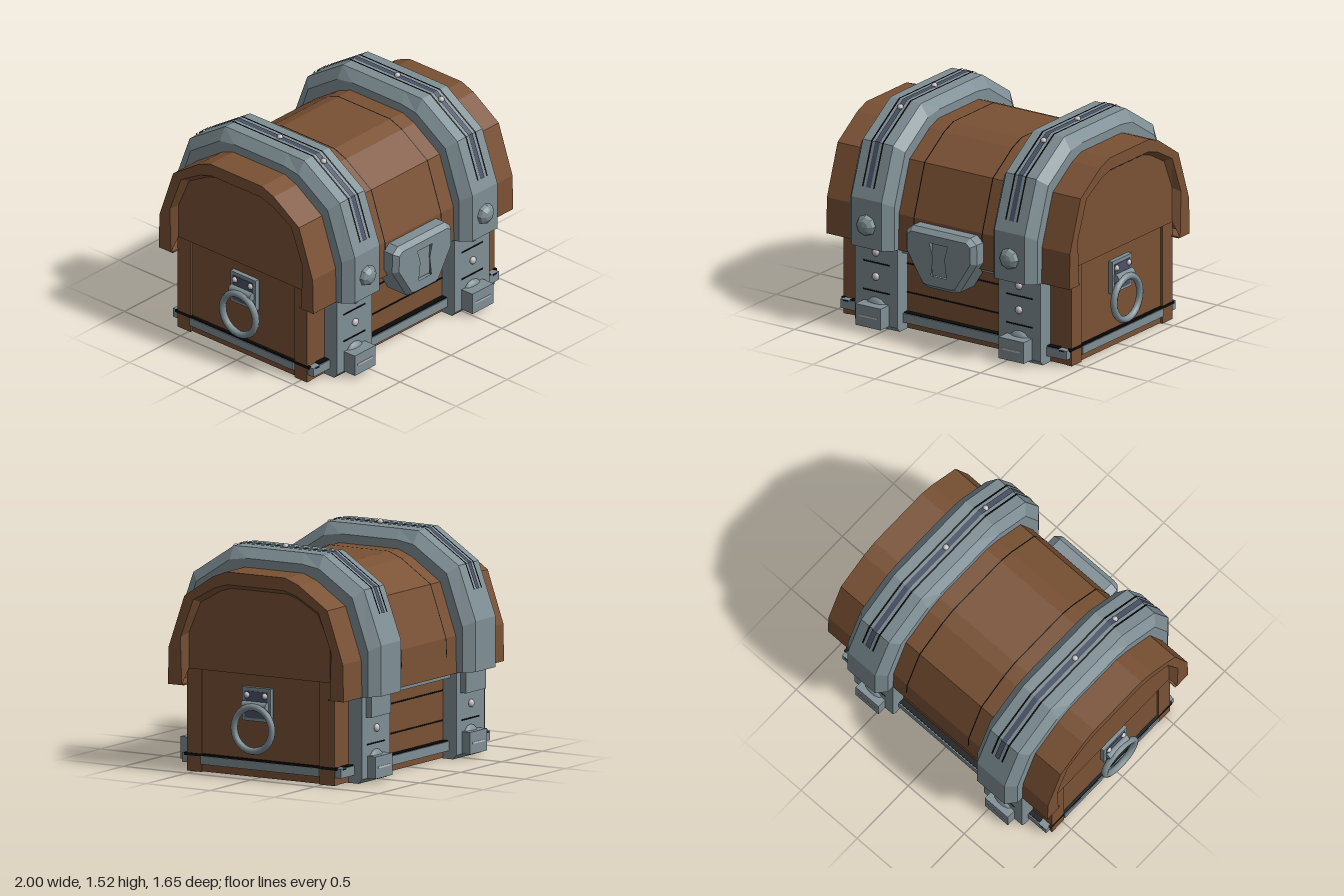
import * as THREE from 'three';

const CZ = -0.024; // depth centre of the chest body
const mat = (name, color) => {
  const m = new THREE.MeshStandardMaterial({ color, side: THREE.DoubleSide });
  m.name = name;
  return m;
};

// Half profile [z, y] from the front bottom to the crown, mirrored to the back
const arch = (half) => [...half, ...half.map(([z, y]) => [-z, y]).reverse()].map(([z, y]) => [z + CZ, y]);

const LID = arch([[0.688, 0.58], [0.682, 0.83], [0.56, 1.18], [0.335, 1.33], [0.23, 1.37]]);
const RIM = arch([[0.58, 0.58], [0.59, 0.9], [0.49, 1.16], [0.32, 1.255], [0.22, 1.285]]);
const PANEL = arch([[0.552, 0.69], [0.552, 0.93], [0.46, 1.14], [0.3, 1.23], [0.22, 1.255]]);
const BAND = arch([[0.802, 0.59], [0.802, 0.93], [0.668, 1.29], [0.352, 1.495], [0.2, 1.497]]);
const BAND_EDGE = arch([[0.735, 0.585], [0.735, 0.89], [0.61, 1.24], [0.35, 1.41], [0.22, 1.43]]);

// Flat-shaded skin between neighbouring paths, each given as [x, profile]
function loft(paths) {
  const pos = [];
  for (let i = 0; i < paths.length - 1; i++) {
    const [xa, a] = paths[i], [xb, b] = paths[i + 1];
    for (let j = 0; j < a.length - 1; j++) {
      const p = [xa, a[j][1], a[j][0]], q = [xb, b[j][1], b[j][0]];
      const r = [xb, b[j + 1][1], b[j + 1][0]], s = [xa, a[j + 1][1], a[j + 1][0]];
      pos.push(...p, ...q, ...r, ...p, ...r, ...s);
    }
  }
  const g = new THREE.BufferGeometry();
  g.setAttribute('position', new THREE.Float32BufferAttribute(pos, 3));
  g.computeVertexNormals();
  return g;
}

const shapeOf = (pts) => new THREE.Shape(pts.map(([x, y]) => new THREE.Vector2(x, y)));

export function createModel() {
  const root = new THREE.Group();
  root.name = 'treasureChest';
  const wood = mat('wood', 0x7a5134);
  const metal = mat('metal', 0x7f8f95);
  const slot = mat('dark slot', 0x4a5266);
  const black = mat('black groove', 0x0b0b0b);
  const pale = mat('pale rivet', 0xc2bdc1);

  const add = (name, geo, m, x = 0, y = 0, z = 0) => {
    const mesh = new THREE.Mesh(geo, m);
    mesh.name = name;
    mesh.position.set(x, y, z);
    root.add(mesh);
    return mesh;
  };
  // Box given by its limits
  const box = (name, m, x0, x1, y0, y1, z0, z1) =>
    add(name, new THREE.BoxGeometry(x1 - x0, y1 - y0, z1 - z0), m, (x0 + x1) / 2, (y0 + y1) / 2, (z0 + z1) / 2);
  const dome = (name, m, r, x, y, z, flat = 1, seg = 12) => {
    const mesh = add(name, new THREE.SphereGeometry(r, seg, seg / 2 + 2), m, x, y, z);
    mesh.scale.z = flat;
    return mesh;
  };

  // Wooden body with corner posts at both ends
  box('body', wood, -0.905, 0.905, 0.004, 0.69, -0.6, 0.552);
  for (const s of [-1, 1]) {
    for (const [z0, z1] of [[0.44, 0.553], [-0.601, -0.485]]) {
      const post = box('cornerPost', wood, 0.88, 0.92, 0.002, 0.69, z0, z1);
      post.position.x *= s;
    }
  }

  // Lid shell with raised end rims and recessed end panels
  add('lid', loft([[-0.935, PANEL], [-0.98, RIM], [-0.98, LID], [0.98, LID], [0.98, RIM], [0.935, PANEL]]), wood);
  for (const s of [-1, 1]) {
    const panel = new THREE.ShapeGeometry(shapeOf(PANEL));
    panel.rotateY(-Math.PI / 2);
    add('lidEndPanel', panel, wood, s * 0.935);
    // Plank seam over the lid
    const seam = LID.map(([z, y]) => [z + Math.sign(z - CZ) * 0.003, Math.max(y, 0.7) + 0.003]);
    add('lidSeam', loft([[s * 0.275 - 0.004, seam], [s * 0.275 + 0.004, seam]]), black);
  }
  box('lidUndersideFront', wood, -0.979, 0.979, 0.58, 0.59, 0.54, 0.662);
  box('lidUndersideBack', wood, -0.979, 0.979, 0.58, 0.59, -0.71, -0.588);

  // Metal straps
  const slitPath = [[0.775, 1.0], [0.668, 1.29], [0.352, 1.495], [-0.352, 1.495], [-0.668, 1.29], [-0.735, 1.12]]
    .map(([z, y]) => [z + Math.sign(z) * 0.006 + CZ, y + 0.007]);
  const strapProfile = shapeOf([[0.64, 0], [0.664, 0.03], [0.664, 0.59], [-0.706, 0.59], [-0.706, 0.03], [-0.68, 0]]);
  for (const s of [-1, 1]) {
    const c = s * 0.577;
    // Lid band, chamfered along both edges
    add('lidBand', loft([[c - 0.178, LID], [c - 0.178, BAND_EDGE], [c - 0.122, BAND], [c + 0.122, BAND],
      [c + 0.178, BAND_EDGE], [c + 0.178, LID]]), metal);
    for (const [e, b, w, l] of [[LID[0], BAND_EDGE[0], 0.178, BAND[0]], [LID[9], BAND_EDGE[9], 0.178, BAND[9]]]) {
      add('bandEnd', loft([[c - w, [e, b]], [c - 0.122, [e, l]], [c + 0.122, [e, l]], [c + w, [e, b]]]), metal);
    }
    // Long slot, its grooves and the rivets on top
    add('bandSlot', loft([[c - 0.019, slitPath], [c + 0.019, slitPath]]), slot);
    for (const d of [-0.045, 0.045]) add('bandGroove', loft([[c + d - 0.006, slitPath], [c + d + 0.006, slitPath]]), black);
    for (const z of [-0.39, 0, 0.39]) dome('topRivet', pale, 0.021, c, z === 0 ? 1.503 : 1.465, z);
    const bolt = new THREE.SphereGeometry(0.075, 8, 6).rotateX(Math.PI / 2).toNonIndexed();
    bolt.computeVertexNormals();
    add('bandBolt', bolt, metal, c, 0.75, 0.775).scale.z = 0.72;

    // Lower strap wrapping the body
    const strap = new THREE.ExtrudeGeometry(strapProfile, { depth: 0.342, bevelEnabled: false });
    strap.rotateY(-Math.PI / 2).translate(0.171, 0, 0);
    add('lowerStrap', strap, metal, c);
    box('hingePlate', metal, c - 0.12, c + 0.12, 0.44, 0.6, -0.75, -0.7);
    for (const [face, dir, out] of [[0.664, 1, 0.76], [-0.706, -1, -0.77]]) {
      for (const y of [0.255, 0.455]) {
        if (dir < 0 && y > 0.4) continue;
        box('strapGroove', black, c - 0.105, c + 0.105, y - 0.005, y + 0.005, face - 0.003, face + 0.003);
      }
      for (const y of dir > 0 ? [0.36, 0.53] : [0.355]) dome('strapRivet', pale, 0.027, c, y, face + dir * 0.008, 0.7);
      // Foot clasp with a pale slit
      box('footClasp', metal, c - 0.102, c + 0.102, 0.03, 0.178, Math.min(face, out), Math.max(face, out));
      box('claspSlit', pale, c - 0.073, c + 0.073, 0.097, 0.109, out - 0.003, out + 0.003);
      dome('claspBolt', metal, 0.09, c, 0.125, face, 0.4, 10);
    }
  }

  // Rails and plank grooves on the front and back
  for (const [face, dir] of [[0.552, 1], [-0.6, -1]]) {
    const slab = (name, m, x0, x1, y0, y1, d) =>
      box(name, m, x0, x1, y0, y1, Math.min(face, face + dir * d), Math.max(face, face + dir * d));
    slab('bottomRail', metal, -0.91, 0.91, 0.055, 0.118, 0.048);
    slab('railShadowLine', black, -0.84, 0.84, 0.118, 0.124, 0.04);
    slab('upperRail', metal, -0.43, 0.43, 0.545, 0.575, 0.06);
    for (const s of [-1, 1]) slab('railNotch', black, s * 0.87 - 0.018, s * 0.87 + 0.018, 0.108, 0.116, 0.051);
    for (const y of [0.255, 0.455]) slab('plankGroove', black, -0.405, 0.405, y - 0.005, y + 0.005, 0.004);
  }

  // Lock plate with a keyhole recess
  const lock = shapeOf([[-0.22, 0.78], [0.22, 0.78], [0.252, 0.755], [0.255, 0.64], [0.13, 0.44], [0.1, 0.43],
    [-0.1, 0.43], [-0.13, 0.44], [-0.255, 0.64], [-0.252, 0.755]]);
  lock.holes.push(new THREE.Path([[-0.075, 0.725], [0.07, 0.725], [0.045, 0.63], [0.062, 0.5], [-0.062, 0.5], [-0.045, 0.63]]
    .map(([x, y]) => new THREE.Vector2(x, y))));
  add('lockPlate', new THREE.ExtrudeGeometry(lock, {
    depth: 0.16, bevelEnabled: true, bevelThickness: 0.035, bevelSize: 0.03, bevelSegments: 1,
  }), metal, 0, 0, 0.575);
  box('keyholeBack', metal, -0.08, 0.08, 0.49, 0.73, 0.6, 0.735);

  // Ring handles and side rails
  for (const s of [-1, 1]) {
    const end = new THREE.Group();
    end.name = s > 0 ? 'leftHandle' : 'rightHandle';
    end.rotation.y = s * Math.PI / 2;
    end.position.x = s * 0.905;
    root.add(end);
    const part = (name, geo, m, x, y, z) => {
      const mesh = new THREE.Mesh(geo, m);
      mesh.name = name;
      mesh.position.set(x, y, z);
      end.add(mesh);
      return mesh;
    };
    const mid = s * 0.023; // rail centre between the posts
    part('sideRail', new THREE.BoxGeometry(0.925, 0.055, 0.03), metal, mid, 0.0825, 0.01);
    part('sideRailGroove', new THREE.BoxGeometry(1.19, 0.018, 0.022), black, mid, 0.115, 0.008);
    part('handlePlate', new THREE.BoxGeometry(0.225, 0.225, 0.035), metal, 0, 0.495, 0.015);
    part('handleSlotUpper', new THREE.BoxGeometry(0.18, 0.075, 0.006), slot, 0, 0.545, 0.034);
    part('handleSlotLower', new THREE.BoxGeometry(0.18, 0.06, 0.006), slot, 0, 0.432, 0.034);
    for (const x of [-0.07, 0.07]) part('handleRivet', new THREE.SphereGeometry(0.021, 12, 8), pale, x, 0.555, 0.035);
    part('ringBracket', new THREE.CylinderGeometry(0.028, 0.028, 0.19, 8).rotateZ(Math.PI / 2), metal, 0, 0.488, 0.045);
    part('ring', new THREE.TorusGeometry(0.148, 0.024, 8, 24), metal, 0, 0.335, 0.071);
  }
  return root;
}
